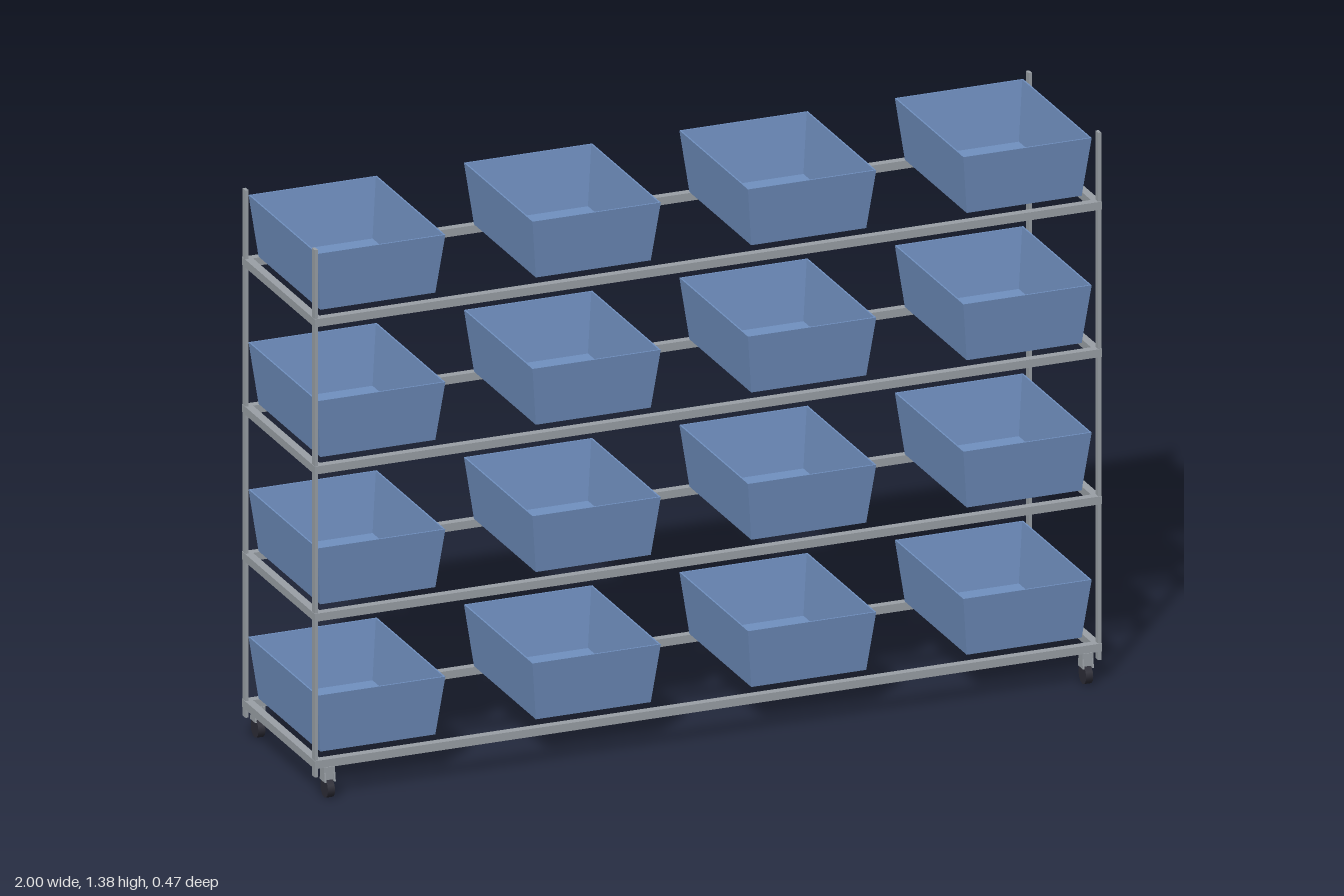
import * as THREE from 'three';

const material = (name, color) => {
  const m = new THREE.MeshStandardMaterial({ color });
  m.name = name;
  return m;
};

// Hollow tapered tub, skinned over rectangular rings from outer floor to inner floor
function tubGeometry(topX, topZ, lowX, lowZ, height, wall) {
  const ring = (x, y, z) => [[-x, y, z], [x, y, z], [x, y, -z], [-x, y, -z]];
  const rings = [
    ring(lowX, 0, lowZ),
    ring(topX, height, topZ),
    ring(topX - wall, height, topZ - wall),
    ring(lowX - wall, wall, lowZ - wall),
  ];
  const points = [];
  const quad = (a, b, c, d) => points.push(...a, ...b, ...c, ...a, ...c, ...d);
  for (let r = 0; r < 3; r++) {
    for (let i = 0; i < 4; i++) {
      const j = (i + 1) % 4;
      quad(rings[r][i], rings[r][j], rings[r + 1][j], rings[r + 1][i]);
    }
  }
  quad(...[...rings[0]].reverse()); // underside
  quad(...rings[3]); // inner floor
  const g = new THREE.BufferGeometry();
  g.setAttribute('position', new THREE.Float32BufferAttribute(points, 3));
  g.computeVertexNormals();
  return g;
}

export function createModel() {
  const model = new THREE.Group();
  model.name = 'binRack';

  const steel = material('steelGrey', 0x9aa0a6);
  const blue = material('binBlue', 0x7090c0);
  const rubber = material('wheelBlack', 0x2c2c36);

  const add = (parent, name, geometry, mat, x, y, z) => {
    const mesh = new THREE.Mesh(geometry, mat);
    mesh.name = name;
    mesh.position.set(x, y, z);
    parent.add(mesh);
    return mesh;
  };

  // Upright corner posts
  const postGeo = new THREE.BoxGeometry(0.008, 1.325, 0.017);
  for (const x of [-0.995, 0.995])
    for (const z of [-0.211, 0.211]) add(model, 'post', postGeo, steel, x, 0.7185, z);

  // Four shelves: long rails, end rails and a row of bins
  const longRail = new THREE.BoxGeometry(1.984, 0.02, 0.02);
  const endRail = new THREE.BoxGeometry(0.02, 0.02, 0.444);
  const tub = tubGeometry(0.163, 0.209, 0.146, 0.1885, 0.15, 0.004);
  for (let level = 0; level < 4; level++) {
    const shelf = new THREE.Group();
    shelf.name = 'shelf';
    shelf.position.y = 0.088 + level * 0.37;
    model.add(shelf);
    for (const side of [-1, 1]) {
      add(shelf, 'longRail', longRail, steel, 0, 0, side * 0.212);
      add(shelf, 'endRail', endRail, steel, side * 0.99, 0, 0);
    }
    for (let i = 0; i < 4; i++) add(shelf, 'bin', tub, blue, -0.821 + i * 0.5473, 0.0135, -0.0115);
  }

  // Casters: tapered fork with cheeks around a wheel
  const wheelGeo = new THREE.CylinderGeometry(0.0235, 0.0235, 0.018, 12).rotateZ(Math.PI / 2);
  const crownGeo = new THREE.BoxGeometry(0.028, 0.032, 0.024);
  const cheek = new THREE.Shape([
    new THREE.Vector2(-0.016, 0), new THREE.Vector2(0.016, 0),
    new THREE.Vector2(0.011, 0.03), new THREE.Vector2(-0.011, 0.03),
  ]);
  const cheekGeo = new THREE.ExtrudeGeometry(cheek, { depth: 0.004, bevelEnabled: false })
    .rotateY(Math.PI / 2).translate(-0.002, 0, 0);
  for (const x of [-0.963, 0.963]) {
    for (const z of [-0.212, 0.212]) {
      const caster = new THREE.Group();
      caster.name = 'caster';
      caster.position.set(x, 0, z);
      model.add(caster);
      add(caster, 'wheel', wheelGeo, rubber, 0, 0.0235, 0);
      add(caster, 'casterCrown', crownGeo, steel, 0, 0.063, 0);
      for (const s of [-1, 1]) add(caster, 'forkCheek', cheekGeo, steel, s * 0.012, 0.042, 0);
    }
  }
  return model;
}
